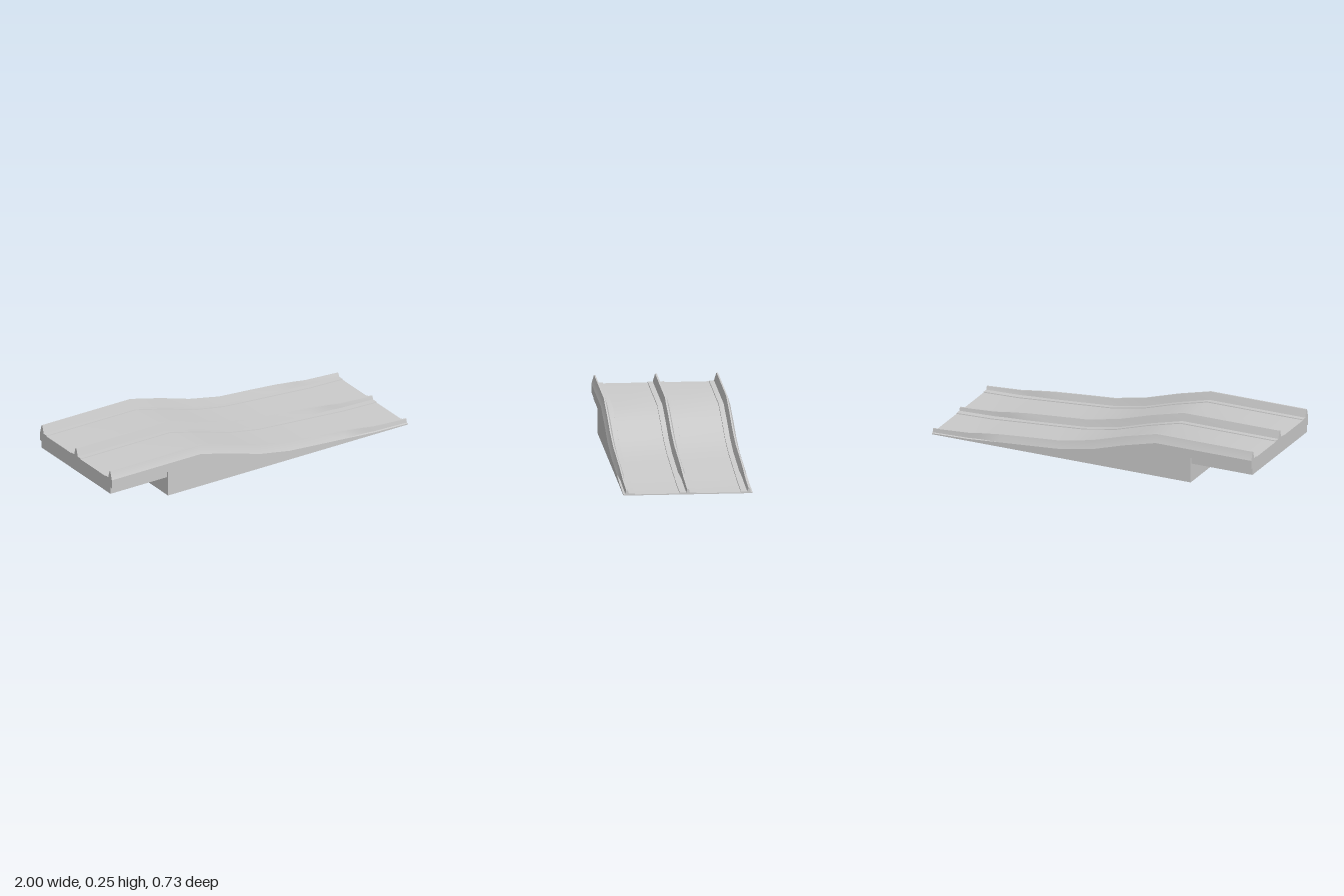
import * as THREE from 'three';
import { toCreasedNormals } from 'three/addons/utils/BufferGeometryUtils.js';

const material = new THREE.MeshStandardMaterial({ color: 0xcccccc, side: THREE.DoubleSide });

const W = 0.365;      // half width of the ramp
const INSET = 0.352;  // half width of the lower deck panel
const STEP = -0.62;   // where the raised deck meets the ramp body

// Stations along the ramp: x, barrier top, road height
const stations = [
  [-1, 0.25, 0.2], [-0.4, 0.25, 0.2], [-0.2, 0.2, 0.15], [0, 0.14, 0.09],
  [0.2, 0.1, 0.055], [0.4, 0.085, 0.04], [0.58, 0.07, 0.027], [0.7, 0.055, 0.018],
  [0.78, 0.043, 0.012], [1, 0.03, 0.006],
];

// Cross-section [z, y] from the left edge to the right edge; barriers slim down at the toe
function section([x, top, road]) {
  const t = THREE.MathUtils.clamp((x - 0.58) / 0.12, 0, 1);
  const kerb = road + 0.005;
  const half = [
    [W, road], [W - 0.001 - 0.01 * t, road + 0.002], [0.35, top], [0.342, top],
    [0.328 + 0.006 * t, kerb], [0.3, kerb], [0.299, road],
    [0.048, road], [0.047, kerb], [0.018 - 0.008 * t, kerb], [0.005, top],
  ];
  return [...half, ...half.slice().reverse().map(([z, y]) => [-z, y])];
}

function addMesh(group, name, geometry) {
  const mesh = new THREE.Mesh(geometry, material);
  mesh.name = name;
  group.add(mesh);
  return mesh;
}

// Sheet swept through all cross-sections
function roadGeometry() {
  const rows = stations.map(section);
  const n = rows[0].length;
  const positions = [], index = [];
  rows.forEach((row, i) => row.forEach(([z, y], j) => {
    positions.push(stations[i][0], y, z);
    if (i < rows.length - 1 && j < n - 1) {
      const a = i * n + j, b = a + n;
      index.push(a, b, a + 1, b, b + 1, a + 1);
    }
  }));
  const g = new THREE.BufferGeometry();
  g.setAttribute('position', new THREE.Float32BufferAttribute(positions, 3));
  g.setIndex(index);
  return toCreasedNormals(g, 0.4);
}

// Upright end face that closes a cross-section down to a given height
function endGeometry(station, bottom) {
  const points = [...section(station), [-W, bottom], [W, bottom]];
  const shape = new THREE.Shape(points.map(([z, y]) => new THREE.Vector2(z, y)));
  const g = new THREE.ShapeGeometry(shape).rotateY(-Math.PI / 2);
  return g.translate(station[0], 0, 0);
}

// Flat panels: across the ramp, along its side, and level
const crossPanel = (x, y0, y1, z0, z1) =>
  new THREE.PlaneGeometry(z1 - z0, y1 - y0).rotateY(Math.PI / 2).translate(x, (y0 + y1) / 2, (z0 + z1) / 2);
const sidePanel = (z, x0, x1, y0, y1) =>
  new THREE.PlaneGeometry(x1 - x0, y1 - y0).rotateY(z < 0 ? Math.PI : 0).translate((x0 + x1) / 2, (y0 + y1) / 2, z);
const levelPanel = (y, x0, x1, z0, z1) =>
  new THREE.PlaneGeometry(x1 - x0, z1 - z0).rotateX(Math.PI / 2).translate((x0 + x1) / 2, y, (z0 + z1) / 2);

export function createModel() {
  const model = new THREE.Group();
  model.name = 'roadRamp';

  // Road surface with its three barriers
  addMesh(model, 'roadAndBarriers', roadGeometry());
  addMesh(model, 'highEnd', endGeometry(stations[0], 0.15));
  addMesh(model, 'lowEnd', endGeometry(stations[stations.length - 1], 0));

  // Side skirts, stepped up under the raised deck
  const outline = [
    ...stations.map(([x, , road]) => [x, road]),
    [1, 0], [STEP, 0], [STEP, 0.15], [-1, 0.15],
  ].map(([x, y]) => new THREE.Vector2(x, y));
  for (const side of [1, -1]) {
    const prefix = side > 0 ? 'left' : 'right';
    const skirt = new THREE.ShapeGeometry(new THREE.Shape(outline));
    if (side < 0) {
      skirt.index.array.reverse();
      skirt.computeVertexNormals();
    }
    addMesh(model, prefix + 'Skirt', skirt.translate(0, 0, side * W));

    // Inset lower side of the deck and the ledge above it
    const z0 = side > 0 ? INSET : -W, z1 = side > 0 ? W : -INSET;
    addMesh(model, prefix + 'DeckSide', sidePanel(side * INSET, -1, STEP, 0.11, 0.15));
    addMesh(model, prefix + 'DeckLedge', levelPanel(0.15, -1, STEP, z0, z1));
    addMesh(model, prefix + 'DeckCorner', crossPanel(STEP, 0.11, 0.15, z0, z1));
  }

  // Underside of the deck, its end, and the wall below it
  addMesh(model, 'deckBottom', levelPanel(0.11, -1, STEP, -INSET, INSET));
  addMesh(model, 'deckEnd', crossPanel(-1, 0.11, 0.15, -INSET, INSET).rotateY(Math.PI).translate(-2, 0, 0));
  addMesh(model, 'supportWall', crossPanel(STEP, 0, 0.11, -W, W));

  return model;
}
